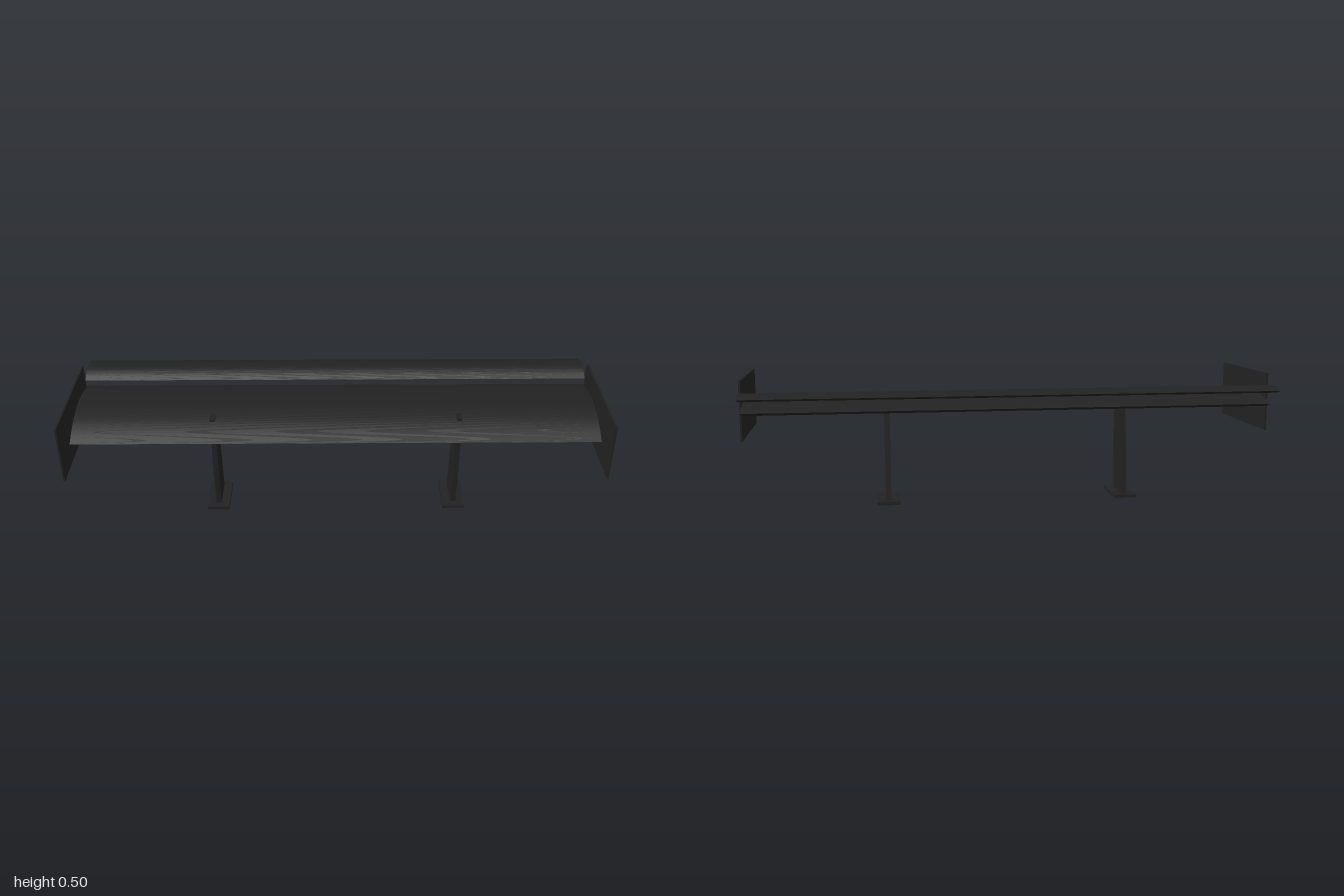
import * as THREE from 'three';
import { toCreasedNormals } from 'three/addons/utils/BufferGeometryUtils.js';

// Extrudes a side outline of [z, y] points across x, centred on x = 0
function extrudeAcross(shape, width) {
  const geo = new THREE.ExtrudeGeometry(shape, { depth: width, bevelEnabled: false, curveSegments: 24 });
  geo.translate(0, 0, -width / 2);
  geo.rotateY(-Math.PI / 2);
  return toCreasedNormals(geo, 0.5);
}

// Aerofoil: upper curve from nose to tail, lower curve from tail to nose
function aerofoil(upper, lower) {
  const vec = (list) => list.map(([z, y]) => new THREE.Vector2(z, y));
  const shape = new THREE.Shape();
  shape.moveTo(...upper[0]);
  shape.splineThru(vec(upper.slice(1)));
  shape.splineThru(vec(lower));
  return shape;
}

export function createModel() {
  const model = new THREE.Group();
  const black = new THREE.MeshStandardMaterial({ color: 0x222222 });
  black.name = 'matte black';

  const add = (name, geo, x = 0, y = 0, z = 0) => {
    const mesh = new THREE.Mesh(geo, black);
    mesh.name = name;
    mesh.position.set(x, y, z);
    model.add(mesh);
  };

  // Main wing and the smaller flap behind it
  const main = aerofoil(
    [[0.18, 0.36], [0.13, 0.387], [0.08, 0.407], [0.02, 0.421], [-0.03, 0.425], [-0.09, 0.421], [-0.165, 0.405], [-0.204, 0.39]],
    [[-0.165, 0.379], [-0.08, 0.365], [0.03, 0.357], [0.11, 0.356], [0.18, 0.36]]
  );
  add('mainWing', extrudeAcross(main, 1.992));

  const flap = aerofoil(
    [[-0.164, 0.437], [-0.19, 0.454], [-0.215, 0.464], [-0.242, 0.467], [-0.27, 0.463], [-0.302, 0.452]],
    [[-0.275, 0.443], [-0.24, 0.438], [-0.2, 0.436], [-0.164, 0.437]]
  );
  add('rearFlap', extrudeAcross(flap, 1.986));

  // Strut outline, leaning forward and just breaking through the wing's top
  const strut = new THREE.Shape([
    [0.083, 0], [0.104, 0.18], [0.094, 0.414], [0.002, 0.414], [-0.044, 0],
  ].map(([z, y]) => new THREE.Vector2(z, y)));

  for (const [side, s] of [['left', 1], ['right', -1]]) {
    add(side + 'EndPlate', new THREE.BoxGeometry(0.007, 0.222, 0.468), s * 0.9965, 0.393, 0.07);
    add(side + 'Strut', extrudeAcross(strut, 0.02), s * 0.467);
    add(side + 'Foot', new THREE.BoxGeometry(0.087, 0.013, 0.177), s * 0.467, 0.0105, 0.025);
  }
  return model;
}
